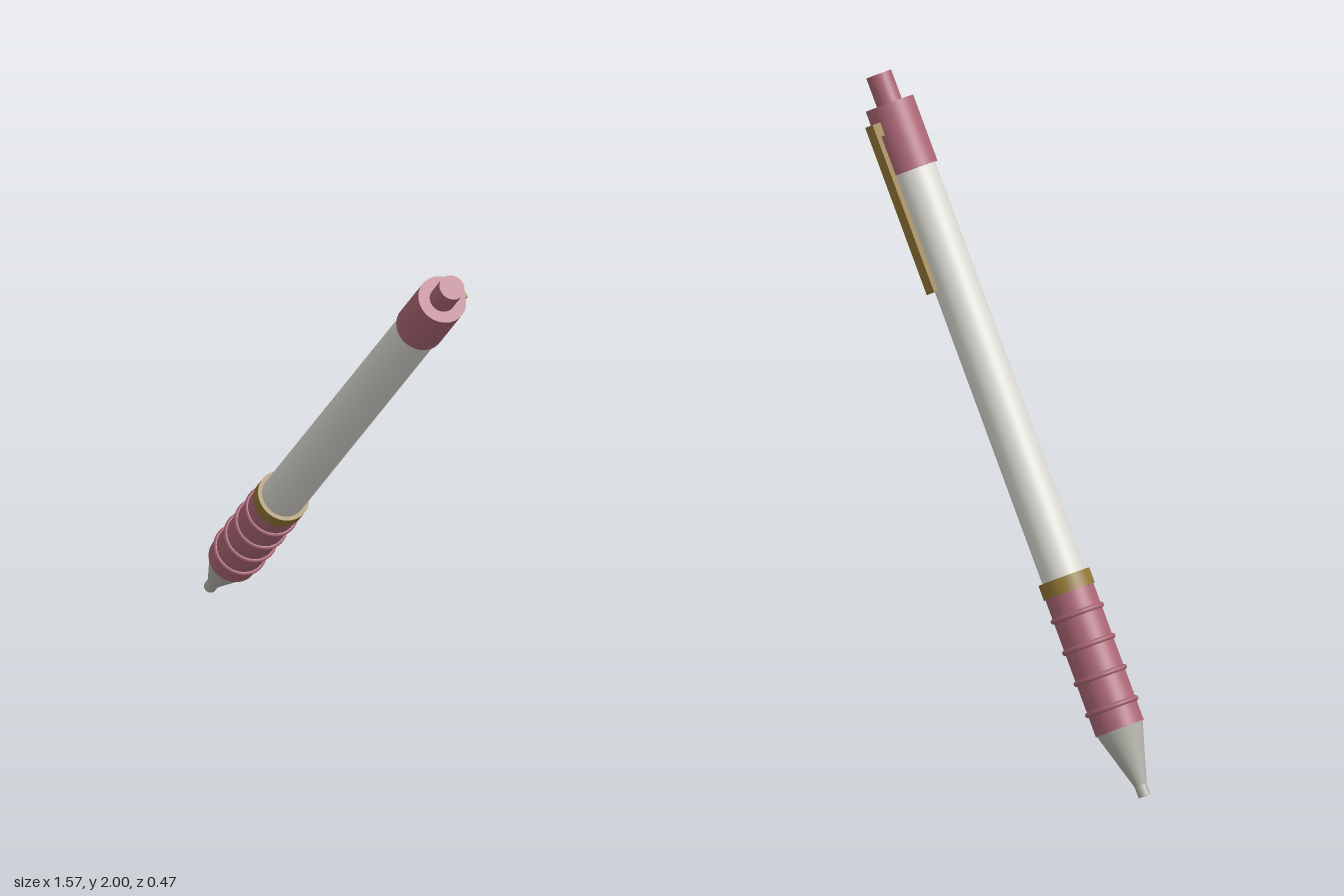
import * as THREE from 'three';

export function createModel() {
  const mat = (name, color) => {
    const m = new THREE.MeshStandardMaterial({ color });
    m.name = name;
    return m;
  };
  const pink = mat('dusty pink', 0xa86473);
  const white = mat('warm white', 0xd8d7d0);
  const gold = mat('old gold', 0x8f7434);
  const grey = mat('tip grey', 0xb0afa6);

  // The pen is built upright, writing end at y = 0, then leaned over
  const pen = new THREE.Group();
  pen.name = 'pen';
  const add = (name, geometry, material, x, y, z) => {
    const mesh = new THREE.Mesh(geometry, material);
    mesh.name = name;
    mesh.position.set(x, y, z);
    pen.add(mesh);
    return mesh;
  };
  const tube = (name, material, y0, y1, r0, r1 = r0) =>
    add(name, new THREE.CylinderGeometry(r1, r0, y1 - y0, 48), material, 0, (y0 + y1) / 2, 0);

  // Writing end
  tube('nozzle', grey, 0, 0.045, 0.021);
  tube('tipCone', grey, 0.035, 0.235, 0.02, 0.079);

  // Grip with four raised rings
  tube('grip', pink, 0.235, 0.715, 0.083);
  for (let i = 0; i < 4; i++) {
    const ring = add('gripRing', new THREE.TorusGeometry(0.083, 0.009, 12, 48), pink, 0, 0.311 + i * 0.108, 0);
    ring.rotation.x = Math.PI / 2;
  }

  // Band, barrel, cap and push button
  tube('band', gold, 0.71, 0.762, 0.088);
  tube('barrel', white, 0.75, 2.18, 0.074);
  tube('cap', pink, 2.175, 2.404, 0.082);
  tube('pushButton', pink, 2.39, 2.505, 0.043);

  // Pocket clip on the back, held by a small block
  add('clipBar', new THREE.BoxGeometry(0.042, 0.58, 0.018), gold, 0, 2.065, -0.104);
  add('clipBlock', new THREE.BoxGeometry(0.042, 0.045, 0.035), gold, 0, 2.3325, -0.09);

  pen.rotation.set(0.1396, 0, -0.661, 'ZXY');
  pen.position.set(-0.77, 0.014, -0.182);

  const model = new THREE.Group();
  model.name = 'leaningPen';
  model.add(pen);
  return model;
}
